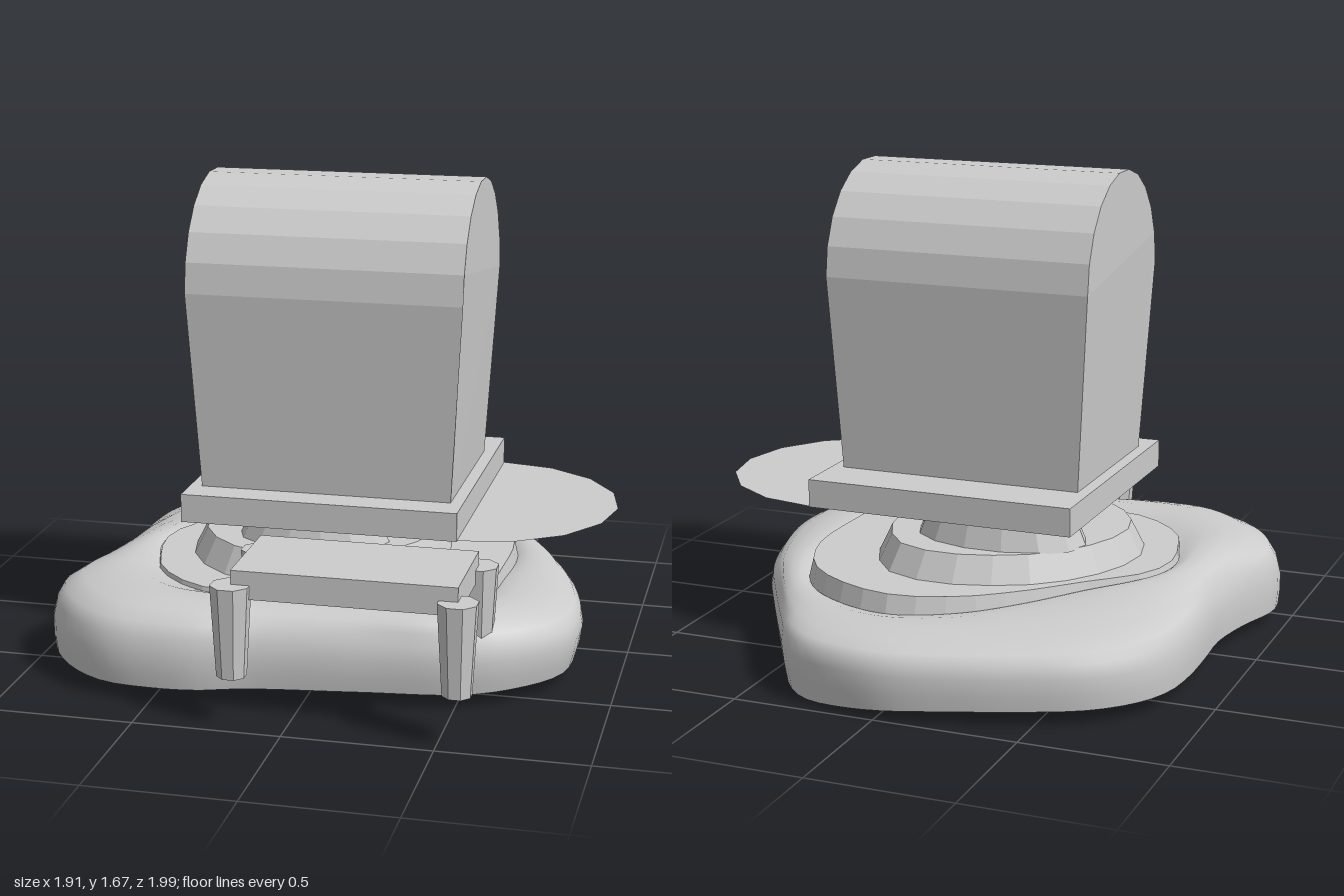
import * as THREE from 'three';

const grey = new THREE.MeshStandardMaterial({ color: 0xcccccc, side: THREE.DoubleSide });
grey.name = 'light grey';

// Closed smooth outline through [x, z] points, running back -> +x -> front -> -x
function outline(points, count) {
  const curve = new THREE.CatmullRomCurve3(points.map(([x, z]) => new THREE.Vector3(x, 0, z)), true);
  return curve.getSpacedPoints(count).slice(0, count);
}

// Skin between rings of equal length, listed from bottom to top
function loft(rings, flat) {
  const n = rings[0].length;
  const index = [];
  for (let i = 0; i < rings.length - 1; i++) {
    for (let j = 0; j < n; j++) {
      const k = (j + 1) % n;
      const a = i * n + j, b = i * n + k, c = b + n, d = a + n;
      index.push(a, c, b, a, d, c);
    }
  }
  const geo = new THREE.BufferGeometry().setFromPoints(rings.flat());
  geo.setIndex(index);
  const result = flat ? geo.toNonIndexed() : geo;
  result.computeVertexNormals();
  return result;
}

// Low tapered mound with a flat top and an open bottom
function terrace(points, y0, y1, taper) {
  const center = new THREE.Vector3();
  points.forEach((p) => center.addScaledVector(p, 1 / points.length));
  const ring = (s, y) => points.map((p) => p.clone().lerp(center, 1 - s).setY(y));
  return loft([ring(1, y0), ring(taper, y1), ring(0, y1)], true);
}

function ellipse(cx, cz, rx, rz, count) {
  return Array.from({ length: count }, (_, i) => {
    const t = (i / count) * Math.PI * 2;
    return new THREE.Vector3(cx + rx * Math.cos(t), 0, cz + rz * Math.sin(t));
  });
}

const LOWER = [
  [-0.7, 0.03], [-0.66, -0.13], [-0.49, -0.31], [-0.33, -0.48], [-0.15, -0.62], [0.07, -0.69],
  [0.27, -0.64], [0.46, -0.5], [0.57, -0.25], [0.58, 0.1], [0.55, 0.38], [0.38, 0.55],
  [0, 0.56], [-0.29, 0.56], [-0.45, 0.52], [-0.61, 0.37], [-0.66, 0.24],
];

// Rounded rocky island: open underneath, its top running in to the lower terrace
function rockGeometry() {
  const edge = outline([
    [-0.01, -1], [0.16, -0.98], [0.3, -0.93], [0.4, -0.84], [0.47, -0.73], [0.63, -0.46],
    [0.75, -0.24], [0.83, 0], [0.865, 0.22], [0.84, 0.4], [0.74, 0.53], [0.56, 0.65],
    [0.2, 0.71], [-0.185, 0.77], [-0.34, 0.82], [-0.5, 0.83], [-0.66, 0.81], [-0.79, 0.73],
    [-0.9, 0.6], [-0.955, 0.47], [-0.955, 0.37], [-0.9, 0.19], [-0.865, 0], [-0.87, -0.18],
    [-0.87, -0.37], [-0.85, -0.53], [-0.79, -0.66], [-0.66, -0.79], [-0.45, -0.89], [-0.21, -0.965],
  ], 96);
  // Point of the terrace outline in the same direction as each edge point
  const center = new THREE.Vector3(-0.04, 0, -0.06);
  const inner = outline(LOWER, 600).map((p) => p.sub(center));
  const hole = edge.map((p) => {
    const dir = p.clone().sub(center).normalize();
    const score = (q) => q.dot(dir) / q.length();
    return inner.reduce((best, q) => (score(q) > score(best) ? q : best)).clone().add(center);
  });

  // Side wall: scale, height, weight of the slope, weight of the dip in the bottom rim
  const wall = [
    [0.985, 0.05, 0, 1], [0.995, 0.1, 0, 0.6], [1, 0.16, 0.1, 0.2], [0.988, 0.21, 0.4, 0], [0.962, 0.245, 0.7, 0],
  ].map(([s, y, slope, dip]) => edge.map((p) => {
    const x = -0.04 + (p.x + 0.04) * s - 0.012 * dip;
    const z = -0.06 + (p.z + 0.06) * s;
    const d2 = (x - 0.36) ** 2 + (z + 0.85) ** 2;
    return new THREE.Vector3(x, y + slope * 0.035 * (z - 0.6 * x) - dip * 0.05 * Math.exp(-d2 / 0.18), z);
  }));
  // Top: share of the way to the terrace, height, weight of the slope, highest level
  const top = [
    [0.3, 0.272, 0.9, 1], [0.55, 0.288, 1, 1], [0.8, 0.295, 1.2, 0.325], [1, 0.288, 1.5, 0.302], [1.06, 0.28, 1.5, 0.296],
  ].map(([t, y, slope, max]) => edge.map((p, i) => {
    const q = p.clone().lerp(hole[i], t);
    return q.setY(Math.min(max, y + slope * 0.035 * (q.z - 0.6 * q.x)));
  }));
  return loft([...wall, ...top], false);
}

// Arched block, widening slightly up to the spring of the arch
function towerGeometry() {
  const bottom = 0.62, spring = 1.3, rise = 0.37, half = 0.362;
  const shape = new THREE.Shape();
  shape.moveTo(-0.328, bottom);
  shape.lineTo(0.328, bottom);
  for (let i = 0; i <= 11; i++) {
    const t = (i / 11) * Math.PI;
    shape.lineTo(half * Math.cos(t), spring + rise * Math.sin(t));
  }
  const geo = new THREE.ExtrudeGeometry(shape, { depth: 2, bevelEnabled: false });
  geo.translate(0, 0, -1);
  geo.rotateY(Math.PI / 2);
  const pos = geo.attributes.position;
  for (let i = 0; i < pos.count; i++) {
    const k = Math.min(1, (pos.getY(i) - bottom) / (spring - bottom));
    pos.setX(i, pos.getX(i) * (0.435 + 0.04 * k));
  }
  geo.computeVertexNormals();
  return geo;
}

export function createModel() {
  const model = new THREE.Group();
  const add = (name, geo, x = 0, y = 0, z = 0) => {
    const mesh = new THREE.Mesh(geo, grey);
    mesh.name = name;
    mesh.position.set(x, y, z);
    model.add(mesh);
  };

  // Ground and stepped mounds
  add('rockBase', rockGeometry());
  add('lowerTerrace', terrace(outline(LOWER, 40), 0.23, 0.312, 0.97));
  const middle = outline([
    [-0.56, 0.05], [-0.51, -0.17], [-0.36, -0.37], [-0.14, -0.48], [0.02, -0.5], [0.17, -0.46],
    [0.3, -0.29], [0.35, -0.05], [0.3, 0.2], [0.1, 0.4], [-0.12, 0.45], [-0.35, 0.39], [-0.5, 0.24],
  ], 22);
  add('middleTerrace', terrace(middle, 0.31, 0.405, 0.9));
  add('backMound', terrace(ellipse(-0.13, -0.19, 0.31, 0.19, 14), 0.4, 0.505, 0.86));
  add('frontMound', terrace(ellipse(-0.09, 0.178, 0.27, 0.158, 14), 0.4, 0.505, 0.82));

  // Main building
  add('floorSlab', new THREE.BoxGeometry(0.955, 0.098, 0.96), -0.008, 0.571, -0.005);
  add('tower', towerGeometry(), -0.008, 0, 0.035);

  // Thin half-round balcony
  const balcony = new THREE.CircleGeometry(0.48, 8, -Math.PI / 2, Math.PI);
  balcony.rotateX(-Math.PI / 2);
  add('balcony', balcony, 0.47, 0.525, -0.005);

  // Platform on four tapered posts
  add('platform', new THREE.BoxGeometry(0.74, 0.095, 0.37), 0.19, 0.477, 0.745);
  for (const x of [-0.18, 0.56]) {
    for (const z of [0.56, 0.93]) {
      const post = new THREE.CylinderGeometry(0.068, 0.05, 0.31, 8).toNonIndexed();
      post.rotateY(Math.PI / 8);
      post.computeVertexNormals();
      add('platformPost', post, x, 0.322, z);
    }
  }
  return model;
}
